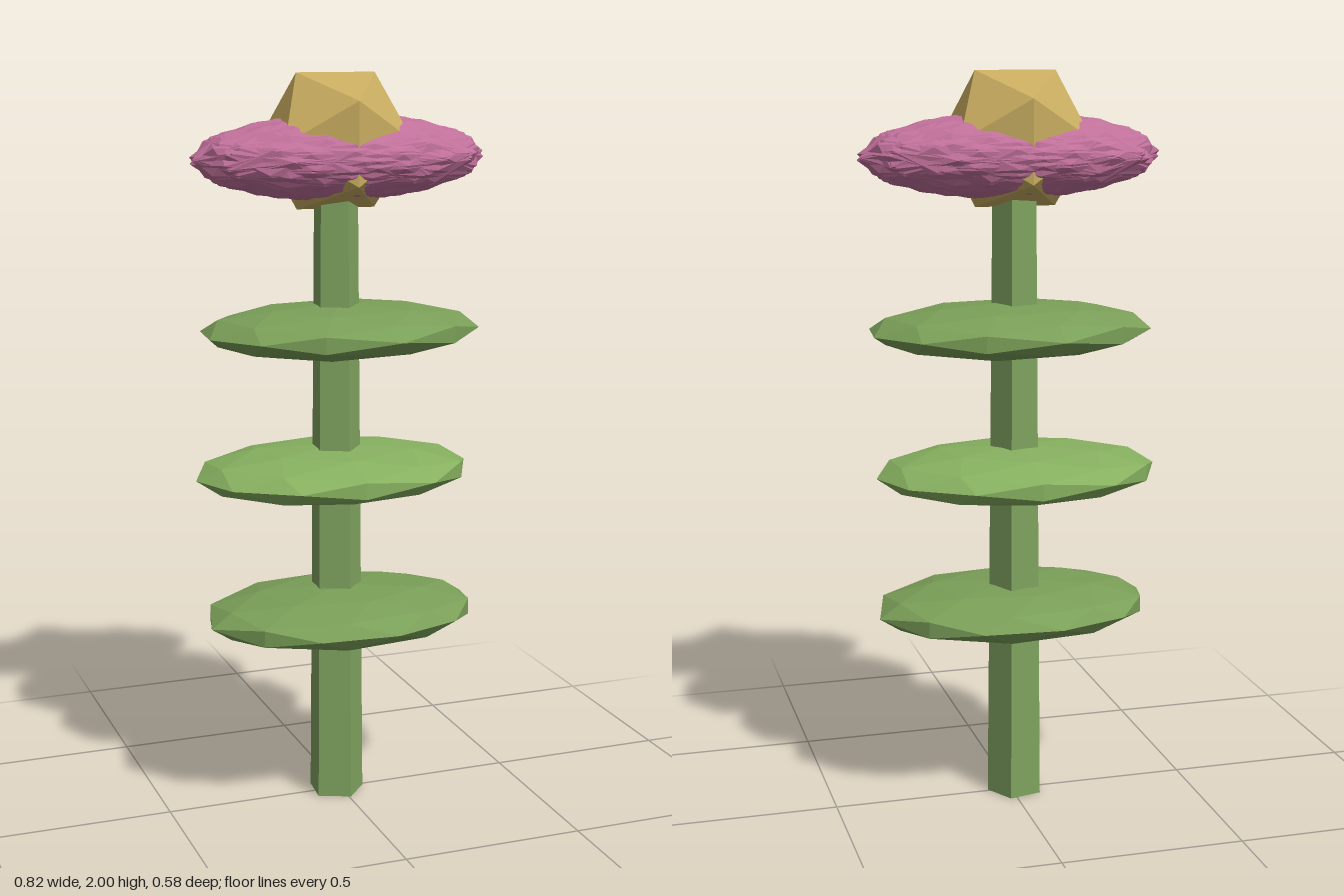
import * as THREE from 'three';

const mat = (color) => {
  const m = new THREE.MeshStandardMaterial({ color });
  m.flatShading = true;
  return m;
};

// Faceted ellipsoid: a low-poly ball turned first, then stretched
function ellipsoid(name, material, semi, centre, turn) {
  const geo = new THREE.IcosahedronGeometry(1, 1);
  geo.applyMatrix4(new THREE.Matrix4().makeRotationFromEuler(new THREE.Euler(...turn)));
  geo.scale(...semi);
  geo.computeVertexNormals();
  const mesh = new THREE.Mesh(geo, material);
  mesh.name = name;
  mesh.position.set(...centre);
  return mesh;
}

export function createModel() {
  const flower = new THREE.Group();
  flower.name = 'flower';
  const axisX = -0.012;

  // Five-sided tapering stem
  const stem = new THREE.Mesh(new THREE.CylinderGeometry(0.061, 0.078, 1.75, 5), mat(0x7fa35f));
  stem.name = 'stem';
  stem.position.set(axisX, 0.875, 0);
  stem.rotation.y = THREE.MathUtils.degToRad(13);
  flower.add(stem);

  // Three flattened leaf discs: centre, spin, colour
  const leaves = [
    [[-0.01, 0.54, 0.027], 1.75, 0x7a9f58],
    [[-0.015, 0.93, -0.012], 0.55, 0x86b05f],
    [[0.003, 1.32, -0.005], 0.2, 0x7a9f58],
  ];
  for (const [centre, spin, color] of leaves) {
    flower.add(ellipsoid('leaf', mat(color), [0.39, 0.073, 0.277], centre, [0, spin, 0]));
  }

  // Blossom: overlapping petal shells spun about the long axis
  const petals = new THREE.Group();
  petals.name = 'petals';
  const petalMat = mat(0xc0709a);
  const count = 8;
  for (let i = 0; i < count; i++) {
    const tilt = 0.09 * Math.sin(i * 2.4);
    const turn = [(i * Math.PI) / count, tilt, 0.09 * Math.cos(i * 2.4)];
    petals.add(ellipsoid('petal', petalMat, [0.41, 0.114, 0.19], [0, 1.78, 0], turn));
  }
  flower.add(petals);

  // Faceted flower centre
  const heart = new THREE.Mesh(new THREE.IcosahedronGeometry(0.208, 0), mat(0xc8ac60));
  heart.name = 'flowerCentre';
  heart.position.set(axisX, 1.823, 0);
  flower.add(heart);

  return flower;
}
